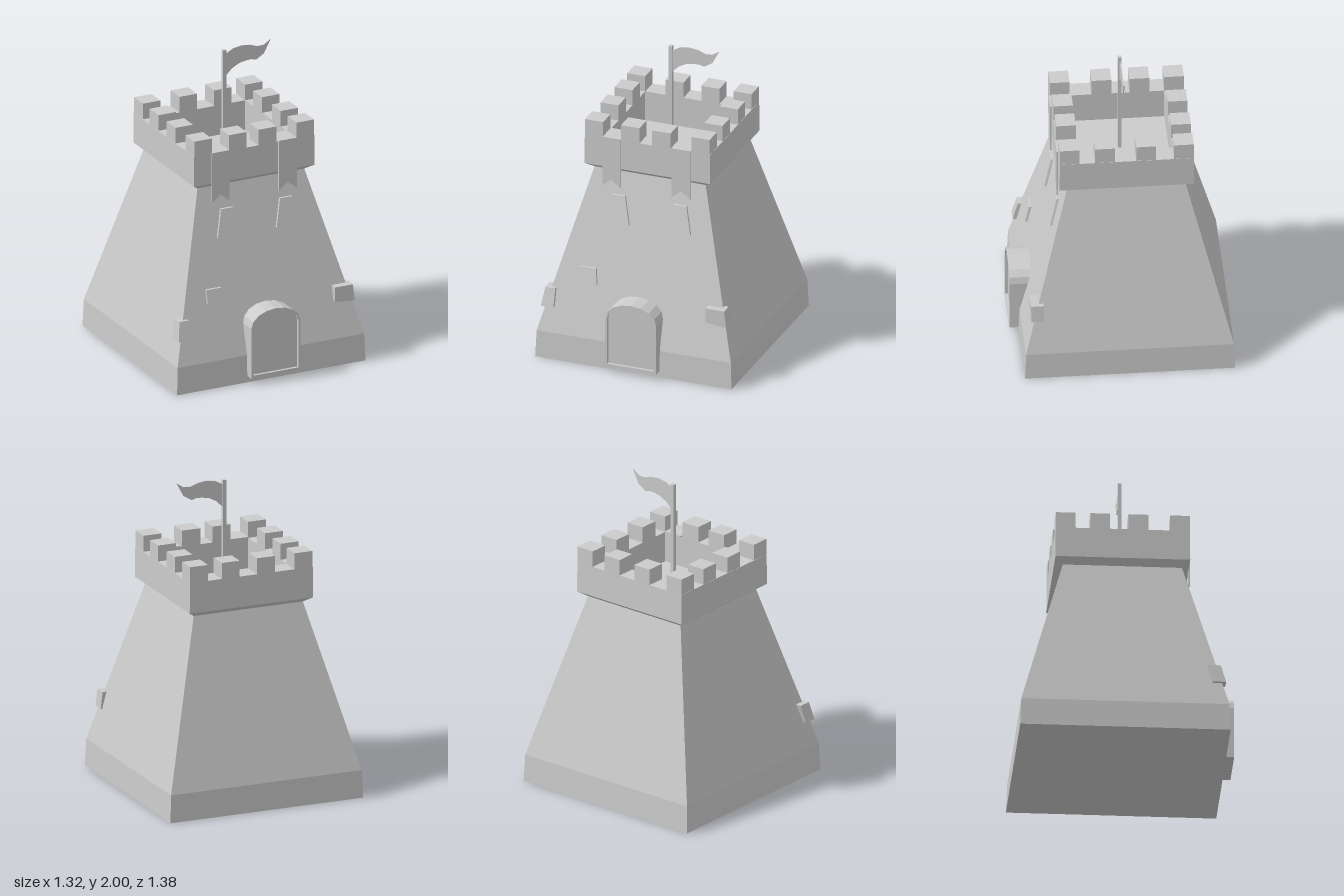
import * as THREE from 'three';

const material = new THREE.MeshStandardMaterial({ color: 0xcccccc, flatShading: true, side: THREE.DoubleSide });
const CZ = -0.03; // tower axis
const SLOPE = 0.262; // inward lean of the walls
const wallZ = (y) => 0.625 - SLOPE * (y - 0.18);

export function createModel() {
  const root = new THREE.Group();
  const add = (name, geometry, parent = root) => {
    const mesh = new THREE.Mesh(geometry, material);
    mesh.name = name;
    parent.add(mesh);
    return mesh;
  };
  const group = (name) => {
    const g = new THREE.Group();
    g.name = name;
    root.add(g);
    return g;
  };
  const box = (name, x0, x1, y0, y1, z0, z1, parent) =>
    add(name, new THREE.BoxGeometry(x1 - x0, y1 - y0, z1 - z0)
      .translate((x0 + x1) / 2, (y0 + y1) / 2, (z0 + z1) / 2), parent);
  const toShape = (pts) => new THREE.Shape(pts.map(([x, y]) => new THREE.Vector2(x, y)));
  const slab = (shape, z0, z1) =>
    new THREE.ExtrudeGeometry(shape, { depth: z1 - z0, bevelEnabled: false }).translate(0, 0, z0);
  // Slab sheared to lie along the sloping front wall
  const wallSlab = (pts, inner, outer) => {
    const g = slab(toShape(pts), inner, outer);
    const p = g.attributes.position;
    for (let i = 0; i < p.count; i++) p.setZ(i, p.getZ(i) + wallZ(p.getY(i)));
    g.computeVertexNormals();
    return g;
  };

  // Square tower: plinth, leaning walls, flared parapet and sunken roof
  const profile = [[0, 0], [0.662, 0], [0.655, 0.18], [0.375, 1.245], [0.424, 1.28],
    [0.422, 1.48], [0.298, 1.48], [0.298, 1.28], [0, 1.28]]
    .map(([h, y]) => new THREE.Vector2(h * Math.SQRT2, y));
  add('tower', new THREE.LatheGeometry(profile, 4, Math.PI / 4).translate(0, 0, CZ));

  // Battlements: four corners and two merlons on each side
  const merlons = group('battlements');
  const merlon = (x0, x1, z0, z1) => box('merlon', x0, x1, 1.475, 1.585, z0, z1, merlons);
  const xEnds = [[-0.42, -0.298], [0.298, 0.42]];
  const zEnds = [[-0.452, -0.328], [0.268, 0.392]];
  for (const x of xEnds) for (const z of zEnds) merlon(...x, ...z);
  for (const x of [[-0.178, -0.053], [0.03, 0.157]]) merlon(...x, ...zEnds[1]);
  for (const x of [[-0.162, -0.04], [0.08, 0.203]]) merlon(...x, ...zEnds[0]);
  for (const z of [[-0.235, -0.11], [0.005, 0.13]]) merlon(...xEnds[0], ...z);
  for (const z of [[-0.215, -0.09], [0.045, 0.17]]) merlon(...xEnds[1], ...z);

  // Banners draped over the front parapet, with notched ends
  for (const [x0, x1] of [[-0.3, -0.178], [0.168, 0.295]]) {
    const banner = group('banner');
    add('hangingCloth', slab(toShape([[x0, 1.488], [x0, 1.15], [(x0 + x1) / 2, 1.2],
      [x1, 1.15], [x1, 1.488]]), 0.392, 0.401), banner);
    box('foldedCloth', x0, x1, 1.478, 1.488, 0.261, 0.398, banner);
  }

  // Tapered windows on the front
  for (const x of [-0.192, 0.222])
    add('window', wallSlab([[x - 0.09, 0.925], [x + 0.088, 0.925],
      [x + 0.044, 1.098], [x - 0.044, 1.098]], -0.02, 0.015));

  // Loose stones standing out of the wall
  add('wallStone', wallSlab([[-0.403, 0.535], [-0.28, 0.525], [-0.295, 0.625], [-0.403, 0.625]], -0.015, 0.016));
  add('leftCornerStone', wallSlab([[-0.635, 0.343], [-0.55, 0.347], [-0.55, 0.465], [-0.617, 0.465]], -0.06, 0.023));
  add('rightCornerStone', slab(toShape([[0.47, 0.413], [0.608, 0.398], [0.595, 0.51], [0.47, 0.51]]), 0.508, 0.588));

  // Arched doorway: rim with a recessed door leaf
  const arch = (rx, y0, spring, rise, Type) => {
    const pts = [new THREE.Vector2(0.004 - rx, y0), new THREE.Vector2(0.004 + rx, y0)];
    for (let i = 0; i <= 8; i++) {
      const a = (i / 8) * Math.PI;
      pts.push(new THREE.Vector2(0.004 + rx * Math.cos(a), spring + rise * Math.sin(a)));
    }
    return new Type(pts);
  };
  const door = group('doorway');
  const rim = arch(0.172, 0.042, 0.38, 0.11, THREE.Shape);
  rim.holes.push(arch(0.158, 0.062, 0.38, 0.095, THREE.Path));
  add('doorFrame', slab(rim, 0.45, 0.688), door);
  add('doorLeaf', slab(arch(0.16, 0.055, 0.38, 0.098, THREE.Shape), 0.45, 0.67), door);

  // Square flagpole with a waving flag
  box('flagpole', -0.017, 0.007, 1.27, 1.985, -0.034, -0.01);
  add('flag', slab(toShape([[0, 1.8], [0.05, 1.85], [0.1, 1.876], [0.15, 1.886], [0.19, 1.887],
    [0.22, 1.878], [0.275, 1.912], [0.322, 2], [0.275, 1.97], [0.23, 1.967], [0.18, 1.985],
    [0.12, 1.993], [0.06, 1.984], [0, 1.952]]), -0.025, -0.019));

  return root;
}
